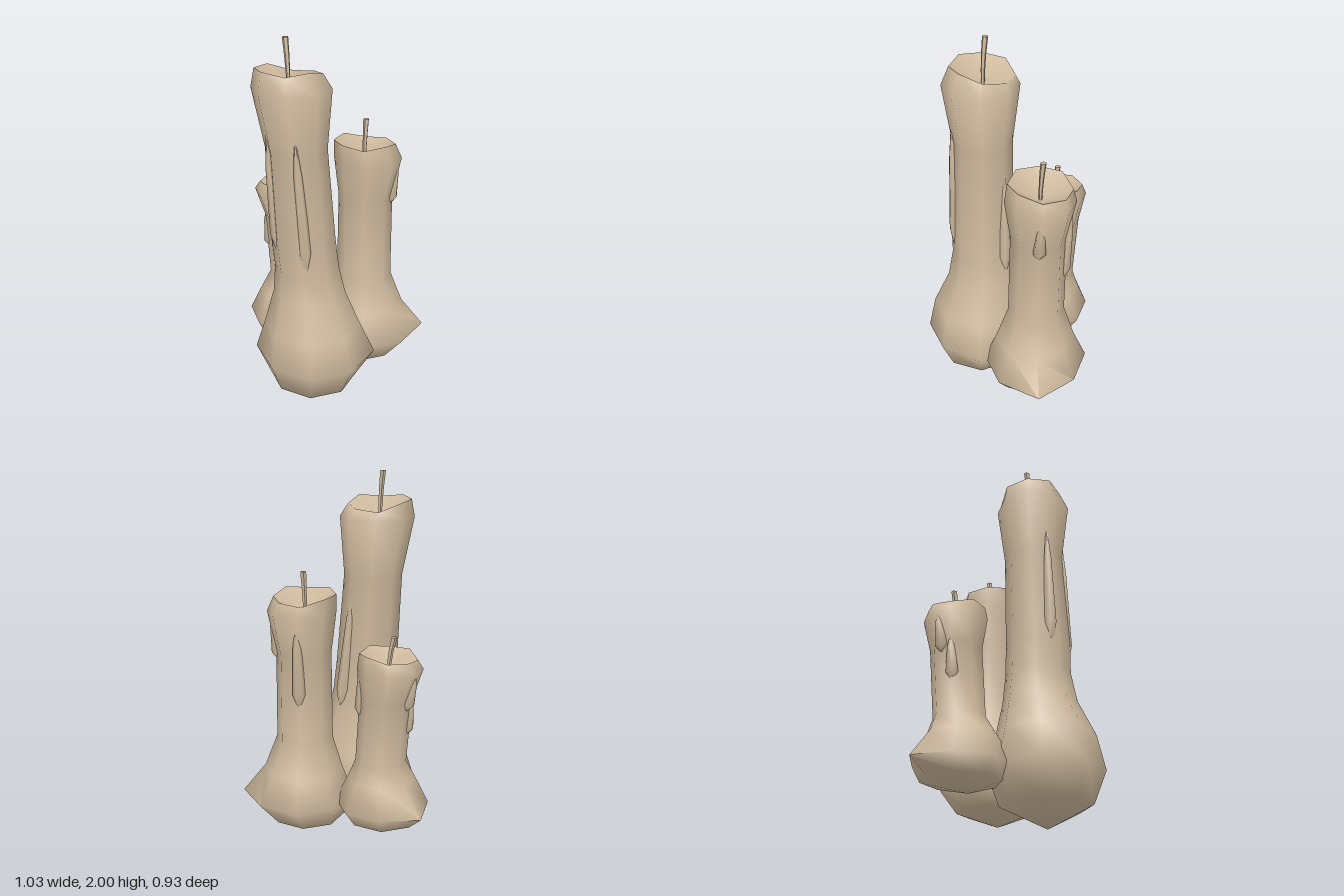
import * as THREE from 'three';
import { toCreasedNormals } from 'three/addons/utils/BufferGeometryUtils.js';

const SIDES = 8;
const wax = new THREE.MeshStandardMaterial({ color: 0xcdb89c, side: THREE.DoubleSide });
wax.name = 'wax';

// Octagonal ring of points; a row is [y, centre x, centre z, radius]
function ring([y, cx, cz, r]) {
  return Array.from({ length: SIDES }, (_, j) => {
    const a = (j + 0.5) * Math.PI * 2 / SIDES;
    return new THREE.Vector3(cx + r * Math.cos(a), y, cz + r * Math.sin(a));
  });
}

// Skins rings listed from the bottom up; the first and last have no radius
function loft(rings) {
  const index = [];
  for (let i = 0; i < rings.length - 1; i++) {
    for (let j = 0; j < SIDES; j++) {
      const a = i * SIDES + j, b = i * SIDES + (j + 1) % SIDES, c = b + SIDES, d = a + SIDES;
      if (i < rings.length - 2) index.push(a, d, c);
      if (i > 0) index.push(a, c, b);
    }
  }
  const geo = new THREE.BufferGeometry().setFromPoints(rings.flat());
  geo.setIndex(index);
  return toCreasedNormals(geo, 1.35);
}

// Wax body with pulled-out base corners, a tilted rim and a hollow top
function bodyGeometry({ rows, spikes, dip }) {
  const rings = rows.map(ring);
  const [y, cx, cz] = rows[rows.length - 1];
  const [, bx, bz] = rows[2];
  for (const [corner, pull] of spikes) {
    const p = rings[2][corner];
    p.x = bx + (p.x - bx) * pull;
    p.z = bz + (p.z - bz) * pull;
  }
  // the rim sinks towards one side and is slightly wavy
  const [angle, depth] = dip;
  rings[rings.length - 1].forEach((q, j) => {
    const facing = Math.cos(Math.atan2(q.z - cz, q.x - cx) - angle);
    q.y -= depth * Math.max(0, facing) + 0.012 * (j % 2);
  });
  rings.push(ring([y - 0.11, cx, cz, 0]));
  return loft(rings);
}

// Bent wick, thicker at its tip
function wickGeometry([y, cx, cz], [tx, ty, tz]) {
  const foot = y - 0.13, h = ty - foot;
  const geo = new THREE.CylinderGeometry(0.016, 0.009, h, 5, 3);
  const p = geo.attributes.position;
  for (let i = 0; i < p.count; i++) {
    const k = p.getY(i) / h + 0.5, bend = k * k;
    p.setXYZ(i, p.getX(i) + cx + (tx - cx) * bend, foot + h * k, p.getZ(i) + cz + (tz - cz) * bend);
  }
  return toCreasedNormals(geo, 0.85);
}

// Point just under the wax at a given height and compass angle
function surfacePoint(rows, y, angle) {
  const i = rows.findIndex(row => row[0] > y);
  const low = rows[i - 1], high = rows[i];
  const k = (y - low[0]) / (high[0] - low[0]);
  const [, cx, cz, r] = low.map((v, n) => v + (high[n] - v) * k);
  return new THREE.Vector3(cx + r * 0.87 * Math.cos(angle), y, cz + r * 0.87 * Math.sin(angle));
}

// Run of wax that swells towards its lower end
function dripGeometry(rows, [degrees, topY, bottomY]) {
  const angle = THREE.MathUtils.degToRad(degrees);
  const foot = surfacePoint(rows, bottomY, angle);
  const along = surfacePoint(rows, topY, angle).sub(foot);
  const len = along.length();
  const profile = [[0, 0], [0.036, 0.2], [0.022, 0.7], [0, 1]]
    .map(([r, y]) => new THREE.Vector2(r, y * len));
  const geo = new THREE.LatheGeometry(profile, 6);
  geo.applyQuaternion(new THREE.Quaternion().setFromUnitVectors(
    new THREE.Vector3(0, 1, 0), along.normalize()));
  geo.translate(foot.x, foot.y, foot.z);
  return geo;
}

function createCandle(name, spec) {
  const candle = new THREE.Group();
  candle.name = name;
  const add = (part, geo) => {
    const mesh = new THREE.Mesh(geo, wax);
    mesh.name = part;
    candle.add(mesh);
  };
  add('waxBody', bodyGeometry(spec));
  add('wick', wickGeometry(spec.rows[spec.rows.length - 1], spec.wickTip));
  spec.drips.forEach(d => add('waxDrip', dripGeometry(spec.rows, d)));
  return candle;
}

export function createModel() {
  const model = new THREE.Group();
  model.name = 'candleCluster';

  model.add(createCandle('tallCandle', {
    rows: [
      [0, 0.13, 0.16, 0], [0.1, 0.06, 0.19, 0.235], [0.27, 0.068, 0.19, 0.3],
      [0.45, 0.055, 0.195, 0.26], [0.63, 0.03, 0.18, 0.195], [0.78, 0.015, 0.18, 0.172],
      [0.95, 0, 0.19, 0.17], [1.45, -0.035, 0.19, 0.158], [1.76, -0.052, 0.2, 0.2],
      [1.865, -0.07, 0.195, 0.168],
    ],
    spikes: [[3, 1.1], [7, 1.1]], dip: [-Math.PI / 2, 0.06],
    wickTip: [-0.09, 2, 0.185],
    drips: [[62, 1.6, 0.77], [125, 1.6, 0.86], [-70, 1.45, 0.66]],
  }));

  model.add(createCandle('middleCandle', {
    rows: [
      [0.06, 0.22, -0.18, 0], [0.13, 0.185, -0.175, 0.205], [0.26, 0.2, -0.2, 0.285],
      [0.42, 0.195, -0.195, 0.215], [0.6, 0.185, -0.195, 0.153], [1.08, 0.18, -0.2, 0.147],
      [1.3, 0.185, -0.207, 0.182], [1.405, 0.168, -0.2, 0.165],
    ],
    spikes: [[7, 1.18], [0, 1.04]], dip: [-Math.PI / 2, 0.04],
    wickTip: [0.168, 1.51, -0.212],
    drips: [[-20, 1.3, 1.02], [-110, 1.3, 0.78]],
  }));

  model.add(createCandle('shortCandle', {
    rows: [
      [0.14, -0.2, -0.1, 0], [0.19, -0.25, -0.11, 0.205], [0.27, -0.24, -0.11, 0.252],
      [0.42, -0.245, -0.12, 0.18], [0.52, -0.245, -0.135, 0.135], [0.88, -0.275, -0.145, 0.137],
      [1.04, -0.295, -0.14, 0.17], [1.125, -0.285, -0.14, 0.15],
    ],
    spikes: [[4, 1.2]], dip: [Math.PI, 0.03],
    wickTip: [-0.315, 1.205, -0.14],
    drips: [[185, 1.04, 0.82], [160, 0.92, 0.66], [-25, 1.1, 0.75]],
  }));

  return model;
}
